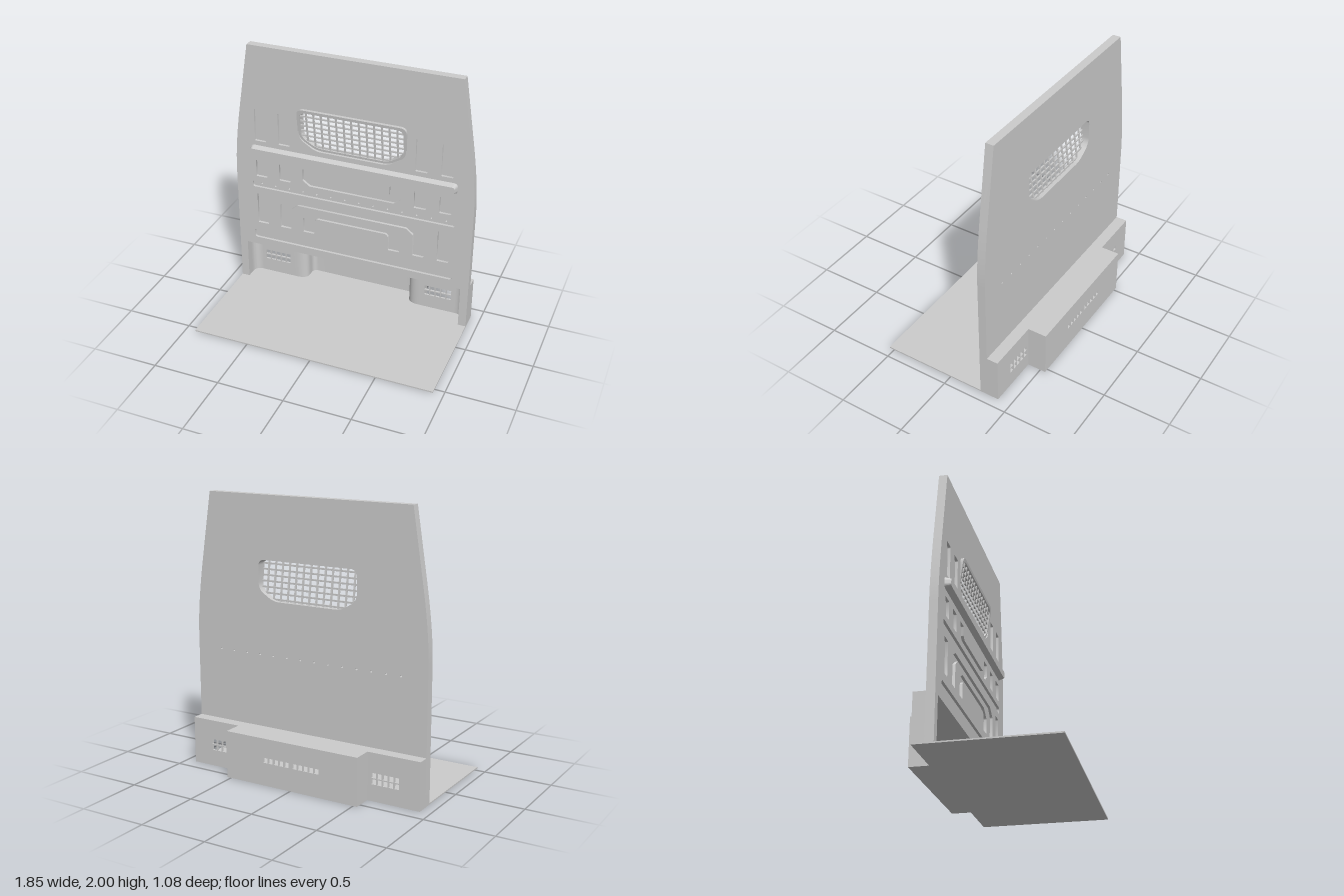
import * as THREE from 'three';
import { toCreasedNormals } from 'three/addons/utils/BufferGeometryUtils.js';

const FRONT = -0.255, BACK = -0.315, POCKET = 0.02;
const material = new THREE.MeshStandardMaterial({ color: 0xcccccc });

function add(parent, name, geometry, x = 0, y = 0, z = 0) {
  const mesh = new THREE.Mesh(geometry, material);
  mesh.name = name;
  mesh.position.set(x, y, z);
  parent.add(mesh);
  return mesh;
}

const extrude = (shape, depth, options = {}) =>
  new THREE.ExtrudeGeometry(shape, { depth, bevelEnabled: false, curveSegments: 10, ...options });

// Closed outline whose corners are rounded by radius r
function rounded(points, r, Type = THREE.Path) {
  const path = new Type();
  const v = points.map(p => new THREE.Vector2(...p));
  v.forEach((p, i) => {
    const prev = v[(i + v.length - 1) % v.length], next = v[(i + 1) % v.length];
    const cut = q => p.clone().add(q.clone().sub(p).setLength(Math.min(r, p.distanceTo(q) * 0.45)));
    const a = cut(prev), b = cut(next);
    if (i) path.lineTo(a.x, a.y); else path.moveTo(a.x, a.y);
    path.quadraticCurveTo(p.x, p.y, b.x, b.y);
  });
  path.closePath();
  return path;
}

const rect = (x0, y0, x1, y1) => [[x0, y0], [x1, y0], [x1, y1], [x0, y1]];
// Completes a half outline with its mirror image
const mirrored = half => [...half, ...half.map(([x, y]) => [-x, y]).reverse()];

// Window outline, shrunk by d on every side
const windowOutline = (d, Type) => rounded(mirrored([
  [0.28 - d * 0.4, 1.242 + d], [0.415 - d, 1.33 + d * 0.5], [0.415 - d, 1.572 - d],
]), 0.05, Type);

// Tilted plane of the window surround and its grille
const TILT = 0.14;
const windowZ = y => FRONT + TILT * (y - 1.39);

function panelShape() {
  const s = new THREE.Shape();
  s.moveTo(0.865, 0);
  s.lineTo(0.925, 0);
  s.lineTo(0.925, 0.97);
  s.quadraticCurveTo(0.925, 1.18, 0.875, 1.5);
  s.lineTo(0.797, 2);
  s.lineTo(-0.797, 2);
  s.lineTo(-0.875, 1.5);
  s.quadraticCurveTo(-0.925, 1.18, -0.925, 0.97);
  s.lineTo(-0.925, 0);
  s.lineTo(-0.865, 0);
  s.lineTo(-0.865, 0.335);
  s.lineTo(0.865, 0.335);
  s.closePath();
  s.holes.push(windowOutline(0.005));
  return s;
}

function boltHoles() {
  return Array.from({ length: 14 }, (_, i) =>
    new THREE.Path().absarc(-0.728 + i * 0.1117, 0.875, 0.007, 0, Math.PI * 2));
}

function pockets() {
  const list = [];
  for (const s of [-1, 1]) {
    for (const [x0, x1, y0, y1] of [
      [0.672, 0.762, 1.245, 1.497], [0.482, 0.573, 1.245, 1.497],
      [0.672, 0.762, 0.945, 1.08], [0.482, 0.573, 0.945, 1.08],
      [0.672, 0.762, 0.537, 0.79],
    ]) list.push(rounded(rect(s * x0, y0, s * x1, y1), 0.008));
  }
  // Upward-opening channel and two arched channels
  for (const half of [
    [[0.265, 0.985], [0.295, 1.01], [0.295, 1.08], [0.385, 1.08], [0.385, 0.985], [0.33, 0.945]],
    [[0.43, 0.755], [0.485, 0.71], [0.485, 0.537], [0.573, 0.537], [0.573, 0.735], [0.49, 0.79]],
    [[0.275, 0.67], [0.295, 0.65], [0.295, 0.537], [0.385, 0.537], [0.385, 0.655], [0.305, 0.71]],
  ]) list.push(rounded(mirrored(half), 0.008));
  // Long horizontal channels
  list.push(rounded(rect(-0.795, 0.397, 0.795, 0.47), 0.022));
  list.push(rounded(rect(-0.795, 0.85, 0.795, 0.9), 0.018));
  return list;
}

function buildPanel(root) {
  const group = new THREE.Group();
  group.name = 'backPanel';
  const front = panelShape(), back = panelShape();
  front.holes.push(...pockets());
  back.holes.push(...boltHoles());
  add(group, 'pocketedFrontSkin', toCreasedNormals(extrude(front, POCKET), 0.5), 0, 0, FRONT - POCKET);
  add(group, 'panelCore', toCreasedNormals(extrude(back, FRONT - POCKET - BACK), 0.5), 0, 0, BACK);
  // Raised rail with sloping sides
  const rail = rounded(rect(-0.785, 1.14, 0.785, 1.195), 0.018, THREE.Shape);
  add(group, 'raisedRail', extrude(rail, 0.002, {
    bevelEnabled: true, bevelSize: 0.014, bevelThickness: 0.042, bevelSegments: 1,
  }), 0, 0, FRONT - 0.001);
  root.add(group);
}

function buildWindow(root) {
  const group = new THREE.Group();
  group.name = 'window';
  // Surround: front face follows the tilted plane
  const ring = windowOutline(0, THREE.Shape);
  ring.holes.push(windowOutline(0.022));
  const g = extrude(ring, 1);
  const p = g.attributes.position;
  for (let i = 0; i < p.count; i++) p.setZ(i, p.getZ(i) > 0.5 ? windowZ(p.getY(i)) : BACK);
  add(group, 'windowSurround', toCreasedNormals(g, 0.5));

  // Grille bars, cut to the window outline
  const top = 1.555, bottom = 1.26, bar = 0.012, inset = 0.012;
  const halfWidth = y => Math.min(0.397, 0.275 + (y - bottom) * 1.53);
  const lowest = x => Math.max(bottom, bottom + (Math.abs(x) - 0.275) / 1.53);
  for (let y = bottom + 0.015; y < top; y += 0.0405)
    add(group, 'grilleCrossBar', new THREE.BoxGeometry(2 * halfWidth(y), bar, 0.01), 0, y, windowZ(y) - inset);
  for (let i = -6; i <= 6; i++) {
    const x = i * 0.0575, y0 = lowest(x), mid = (y0 + top) / 2;
    add(group, 'grilleUprightBar', new THREE.BoxGeometry(bar, top - y0, 0.01), x, mid, windowZ(mid) - inset)
      .rotation.x = Math.atan(TILT);
  }
  root.add(group);
}

// Wall with rows of square vent openings
function ventWall(x0, x1, vents) {
  const s = new THREE.Shape(rect(x0, 0.01, x1, 0.335).map(p => new THREE.Vector2(...p)));
  for (const [vx, vy, cols, rows] of vents)
    for (let c = 0; c < cols; c++)
      for (let r = 0; r < rows; r++) {
        const x = vx + c * 0.0435, y = vy + r * 0.045;
        s.holes.push(rounded(rect(x, y, x + 0.036, y + 0.037), 0.001));
      }
  return extrude(s, 0.015);
}

function buildBase(root) {
  const group = new THREE.Group();
  group.name = 'base';
  // Plan outlines use y for the distance towards the back
  const upright = (shape, h) => toCreasedNormals(extrude(shape, h).rotateX(-Math.PI / 2), 0.5);
  const plan = front => new THREE.Shape(mirrored(
    [[0.925, front], [0.925, 0.4], [0.53, 0.4], [0.53, 0.54]]).map(p => new THREE.Vector2(...p)));
  add(group, 'floor', upright(plan(-0.54), 0.01));
  add(group, 'boxLid', upright(plan(-BACK), 0.01), 0, 0.335, 0);

  for (const s of [-1, 1]) {
    // Outer corner with a rounded inside
    const corner = new THREE.Shape();
    corner.moveTo(s * 0.865, 0.315);
    corner.lineTo(s * 0.925, 0.315);
    corner.lineTo(s * 0.925, 0.4);
    corner.lineTo(s * 0.8, 0.4);
    corner.lineTo(s * 0.8, 0.385);
    corner.quadraticCurveTo(s * 0.865, 0.385, s * 0.865, 0.315);
    add(group, 'outerCorner', upright(corner, 0.325), 0, 0.01, 0);

    // Curved step between shallow sides and deep middle
    const step = new THREE.Shape();
    step.moveTo(s * 0.55, 0.385);
    step.lineTo(s * 0.55, 0.4);
    step.lineTo(s * 0.53, 0.4);
    step.lineTo(s * 0.53, 0.54);
    step.lineTo(s * 0.3, 0.54);
    step.lineTo(s * 0.3, 0.525);
    step.lineTo(s * 0.38, 0.525);
    step.quadraticCurveTo(s * 0.42, 0.525, s * 0.42, 0.48);
    step.lineTo(s * 0.42, 0.45);
    step.quadraticCurveTo(s * 0.42, 0.385, s * 0.51, 0.385);
    step.closePath();
    add(group, 'curvedStep', upright(step, 0.325), 0, 0.01, 0);

    const left = s > 0 ? 0.555 : -0.77;
    add(group, 'sideVentWall', ventWall(s > 0 ? 0.55 : -0.8, s > 0 ? 0.8 : -0.55, [[left, 0.12, 5, 2]]), 0, 0, -0.4);
  }
  add(group, 'middleVentWall', ventWall(-0.3, 0.3, [[-0.23, 0.168, 5, 1], [0.01, 0.168, 5, 1]]), 0, 0, -0.54);
  root.add(group);
}

export function createModel() {
  const root = new THREE.Group();
  root.name = 'partitionWall';
  buildPanel(root);
  buildWindow(root);
  buildBase(root);
  return root;
}
